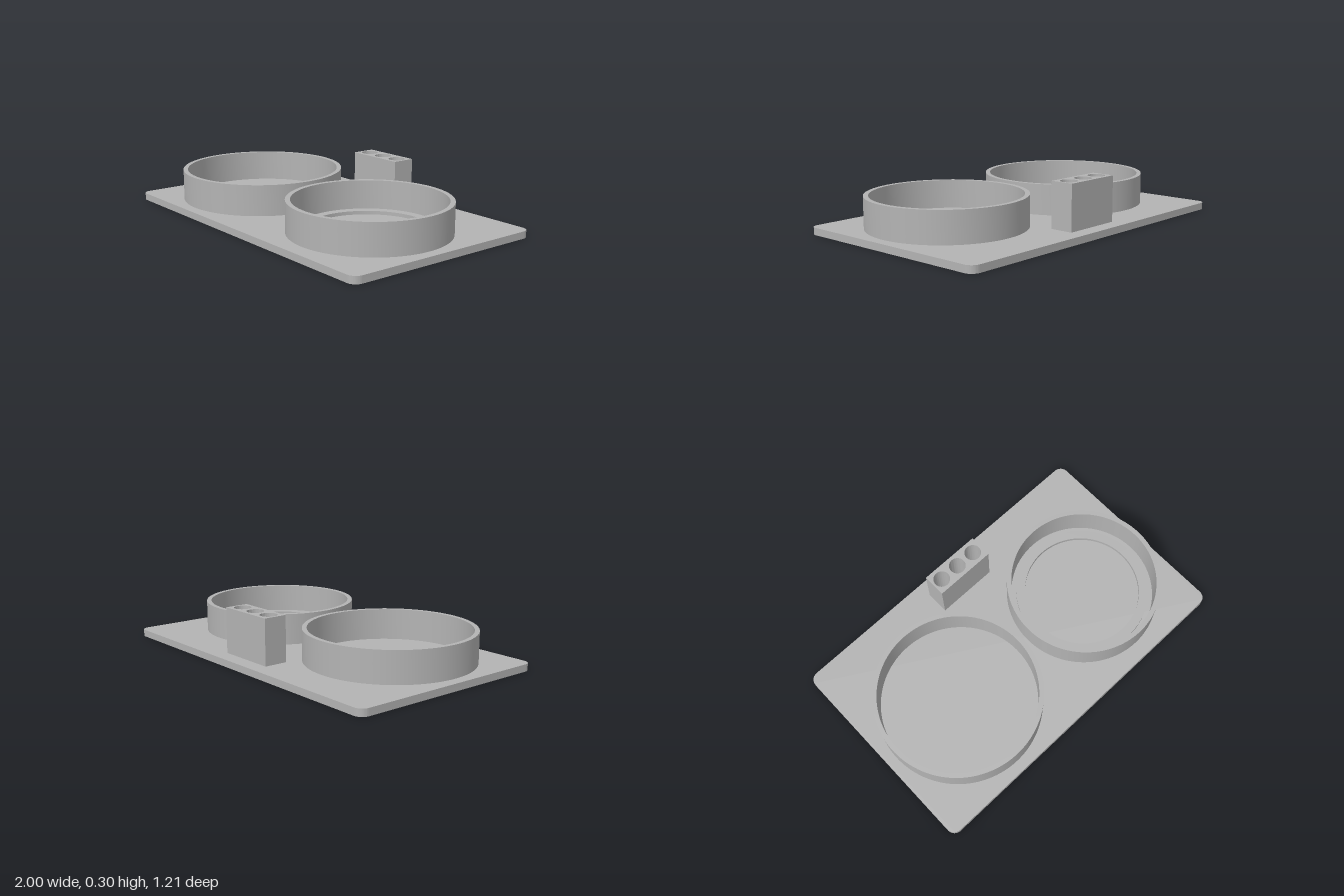
import * as THREE from 'three';
import { toCreasedNormals } from 'three/addons/utils/BufferGeometryUtils.js';

const BASE_TOP = 0.04;

// Rectangle outline with rounded corners, in the ground plane
function roundedRect(halfX, halfY, r) {
  const s = new THREE.Shape();
  s.absarc(halfX - r, halfY - r, r, 0, Math.PI / 2);
  s.absarc(-halfX + r, halfY - r, r, Math.PI / 2, Math.PI);
  s.absarc(-halfX + r, -halfY + r, r, Math.PI, Math.PI * 1.5);
  s.absarc(halfX - r, -halfY + r, r, Math.PI * 1.5, Math.PI * 2);
  s.closePath();
  return s;
}

function circle(r, x = 0, Type = THREE.Path) {
  return new Type().absarc(x, 0, r, 0, Math.PI * 2);
}

export function createModel() {
  const group = new THREE.Group();
  const grey = new THREE.MeshStandardMaterial({ color: 0xb3b3b3 });
  grey.name = 'matte grey';

  // Raises a ground-plane outline from y0 to y1
  function addPart(name, shape, x, z, y0, y1, curveSegments) {
    const geometry = new THREE.ExtrudeGeometry(shape, { depth: y1 - y0, bevelEnabled: false, curveSegments });
    geometry.rotateX(-Math.PI / 2);
    const mesh = new THREE.Mesh(toCreasedNormals(geometry, 0.5), grey);
    mesh.name = name;
    mesh.position.set(x, y0, z);
    group.add(mesh);
  }

  function addRing(name, x, z, outer, inner, top) {
    const shape = circle(outer, 0, THREE.Shape);
    shape.holes.push(circle(inner));
    addPart(name, shape, x, z, BASE_TOP, top, 96);
  }

  // Tray
  addPart('basePlate', roundedRect(1, 0.606, 0.05), 0, 0, 0, BASE_TOP, 10);

  // Two round holders, the smaller with a low ridge inside
  addRing('largeHolder', -0.472, 0.076, 0.469, 0.443, 0.216);
  addRing('smallHolder', 0.499, 0.076, 0.44, 0.413, 0.216);
  addRing('innerRidge', 0.499, 0.076, 0.385, 0.333, 0.06);

  // Block with three upright holes
  const block = new THREE.Shape();
  block.moveTo(-0.177, -0.067).lineTo(0.177, -0.067).lineTo(0.177, 0.067).lineTo(-0.177, 0.067).closePath();
  for (const x of [-0.118, 0, 0.118]) block.holes.push(circle(0.047, x));
  addPart('holeBlock', block, 0.012, -0.453, BASE_TOP, 0.296, 40);

  return group;
}
